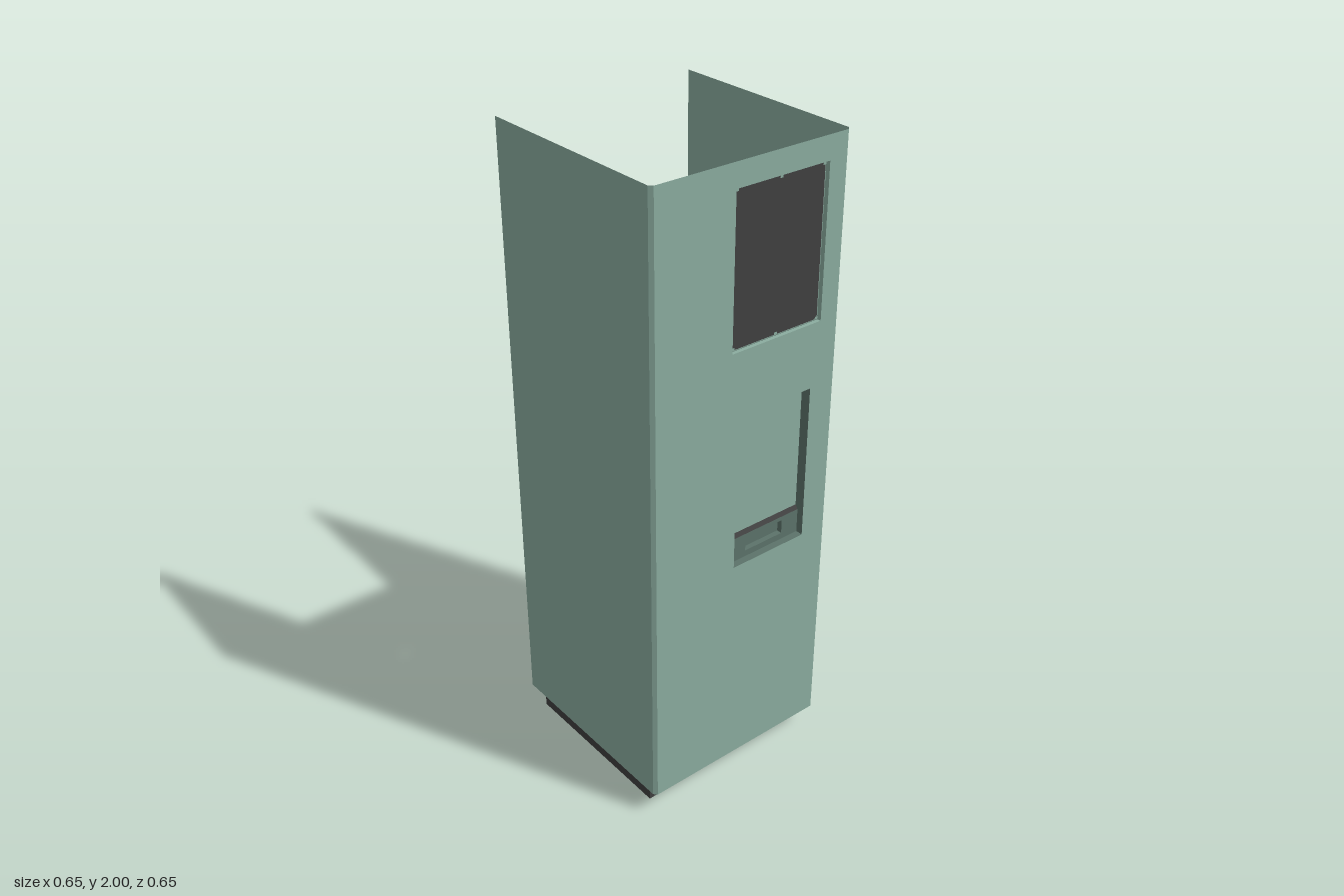
import * as THREE from 'three';

export function createModel() {
  const model = new THREE.Group();
  const paint = (name, color) => {
    const m = new THREE.MeshStandardMaterial({ color, side: THREE.DoubleSide });
    m.name = name;
    return m;
  };
  const green = paint('sage green', 0x8bada0);
  const shade = paint('deep green', 0x5c736a);
  const charcoal = paint('charcoal', 0x404040);

  const add = (name, geometry, material) => {
    const mesh = new THREE.Mesh(geometry, material);
    mesh.name = name;
    model.add(mesh);
    return mesh;
  };
  // Flat sheet through corners given in order
  const sheet = (name, material, corners) => {
    const g = new THREE.BufferGeometry();
    g.setAttribute('position', new THREE.Float32BufferAttribute(corners.flat(), 3));
    g.setIndex(corners.length === 4 ? [0, 1, 2, 0, 2, 3] : [0, 1, 2]);
    g.computeVertexNormals();
    return add(name, g, material);
  };
  // Rectangle in the side plane at a given x; its shape x axis is -z
  const rect = (z0, z1, y0, y1, Type = THREE.Shape) => new Type([
    new THREE.Vector2(-z0, y0), new THREE.Vector2(-z1, y0),
    new THREE.Vector2(-z1, y1), new THREE.Vector2(-z0, y1)]);
  const sidePlate = (name, material, shape, x) => {
    const g = new THREE.ShapeGeometry(shape);
    g.rotateY(Math.PI / 2);
    g.translate(x, 0, 0);
    return add(name, g, material);
  };
  // Band swept inward (along x) around a rectangular opening
  const reveal = (name, material, z0, z1, y0, y1, xOut, xIn) => {
    const ring = [[y0, z0], [y0, z1], [y1, z1], [y1, z0]];
    ring.forEach(([ya, za], i) => {
      const [yb, zb] = ring[(i + 1) % 4];
      sheet(name, material, [[xOut, ya, za], [xOut, yb, zb], [xIn, yb, zb], [xIn, ya, za]]);
    });
  };

  const W = 0.325, C = 0.315, Y0 = 0.08, Y1 = 2;

  // Open shell: front and back sheets with bevelled corners
  for (const s of [1, -1]) {
    const label = s > 0 ? 'front' : 'back';
    const vertical = (name, xa, za, xb, zb) => {
      const q = [[xa, Y0, za], [xb, Y0, zb], [xb, Y1, zb], [xa, Y1, za]];
      sheet(name, green, s > 0 ? q : q.reverse());
    };
    vertical(label + 'Wall', -W, s * W, C, s * W);
    vertical(label + 'CornerBevel', C, s * W, W, s * C);
  }

  // Side wall with openings for the screen and the hatch
  const wall = rect(C, -C, Y0, Y1);
  wall.holes.push(rect(0.06, -0.255, 1.48, 1.93, THREE.Path));
  wall.holes.push(rect(0.035, -0.23, 0.79, 1.28, THREE.Path));
  sidePlate('sideWall', green, wall, W);

  // Recessed screen with its frame and fixing tabs
  reveal('screenReveal', green, 0.06, -0.255, 1.48, 1.93, W, 0.313);
  sidePlate('screenFrame', green, rect(0.06, -0.255, 1.48, 1.93), 0.311);
  sidePlate('screen', charcoal, rect(0.054, -0.25, 1.484, 1.927), 0.314);
  sidePlate('screenBack', charcoal, rect(0.054, -0.25, 1.484, 1.927), 0.309);
  for (const z of [0.05, -0.098, -0.246]) {
    for (const y of [1.488, 1.923]) {
      sidePlate('screenTab', green, rect(z + 0.005, z - 0.005, y - 0.004, y + 0.004), 0.316);
    }
  }

  // Hopper behind the hatch: flat top, sloping back, tapered cheeks
  const zA = 0.035, zB = -0.23, yT = 1.28, yB = 0.79, xT = -0.165, xB = 0;
  sheet('hopperTop', shade, [[xT, yT, zA], [W, yT, zA], [W, yT, zB], [xT, yT, zB]]);
  sheet('hopperBack', shade, [[xB, yB, zA], [xB, yB, zB], [xT, yT, zB], [xT, yT, zA]]);
  sheet('hopperFloor', shade, [[xB, yB, zA], [W, yB, zA], [W, yB, zB], [xB, yB, zB]]);
  for (const z of [zA, zB]) {
    sheet('hopperCheek', shade, [[xB, yB, z], [W, yB, z], [W, yT, z], [xT, yT, z]]);
  }

  // Hatch flap and the grip rail below it
  sidePlate('hatchFlap', green, rect(zA, zB, 0.88, yT), 0.293);
  sheet('gripLedge', charcoal, [[0.293, 0.88, zA], [0.302, 0.868, zA], [0.302, 0.868, zB], [0.293, 0.88, zB]]);
  const rail = rect(zA, zB, yB, 0.868);
  const slot = rect(-0.028, -0.168, 0.81, 0.855, THREE.Path);
  rail.holes.push(slot);
  sidePlate('gripRail', shade, rail, 0.302);
  reveal('gripSlotEdge', shade, -0.028, -0.168, 0.81, 0.855, 0.302, 0.285);
  sidePlate('gripSlotBack', shade, rect(-0.028, -0.168, 0.81, 0.855), 0.285);

  // Set-back plinth, open on the same side as the shell
  const p = 0.295, px = 0.26;
  for (const z of [p, -p]) {
    sheet('plinthSide', charcoal, [[-p, 0, z], [px, 0, z], [px, Y0, z], [-p, Y0, z]]);
  }
  sheet('plinthEnd', charcoal, [[px, 0, p], [px, 0, -p], [px, Y0, -p], [px, Y0, p]]);

  return model;
}
